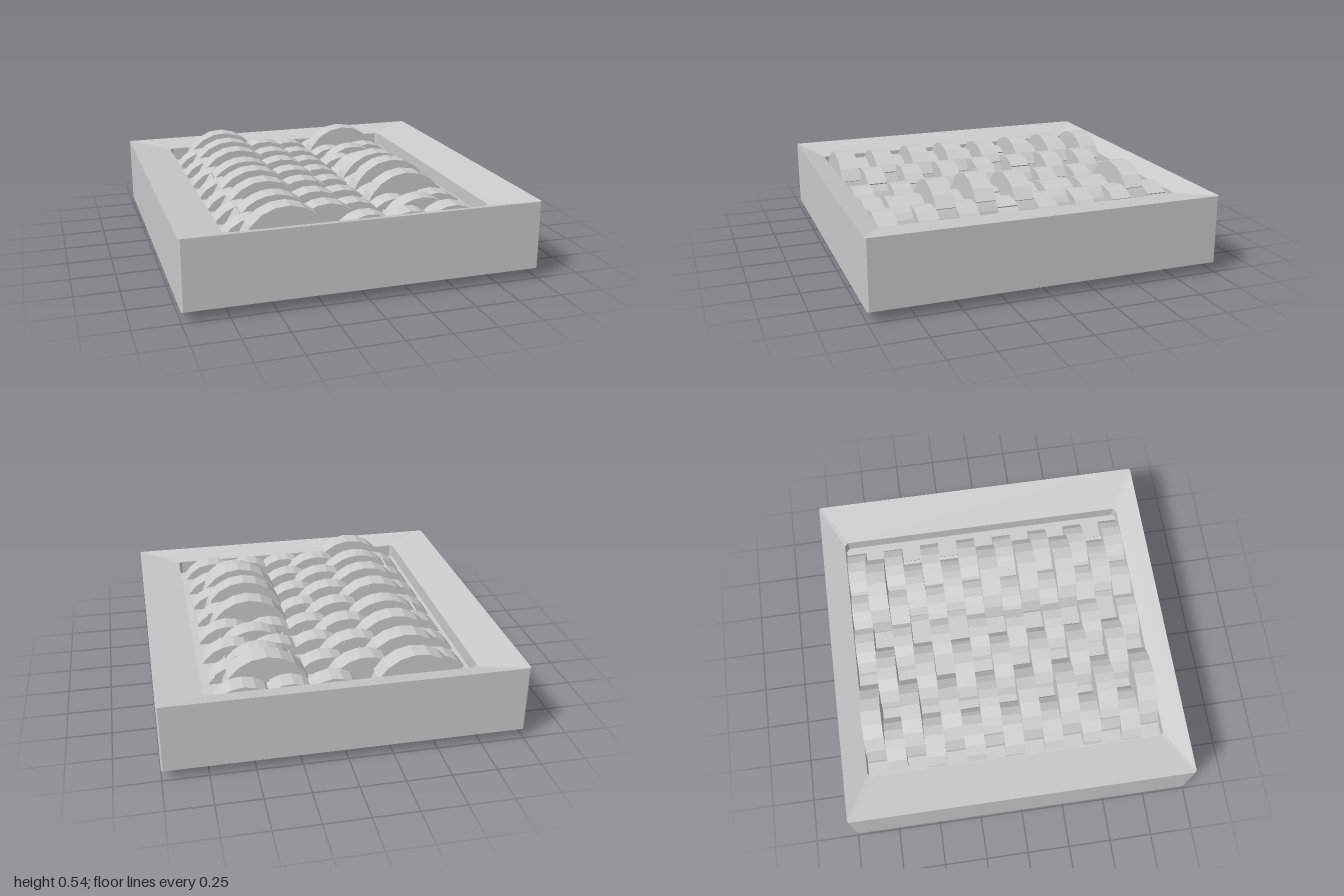
import * as THREE from 'three';

const mat = new THREE.MeshStandardMaterial({ color: 0xcccccc, flatShading: true, side: THREE.DoubleSide });

// Rectangular outline with clipped corners, as eight points at height y
function outline(hx, hz, clip, y) {
  const pts = [];
  for (const [sx, sz, flip] of [[1, 1, 0], [1, -1, 1], [-1, -1, 0], [-1, 1, 1]]) {
    const a = [sx * (hx - clip), y, sz * hz];
    const b = [sx * hx, y, sz * (hz - clip)];
    pts.push(...(flip ? [b, a] : [a, b]));
  }
  return pts;
}

// Skin stretched over a series of outlines
function loft(loops) {
  const pos = [], idx = [], n = loops[0].length;
  loops.forEach(l => l.forEach(p => pos.push(...p)));
  for (let k = 0; k < loops.length - 1; k++) {
    for (let i = 0; i < n; i++) {
      const a = k * n + i, b = k * n + (i + 1) % n;
      idx.push(a, b, b + n, a, b + n, a + n);
    }
  }
  const g = new THREE.BufferGeometry();
  g.setAttribute('position', new THREE.Float32BufferAttribute(pos, 3));
  g.setIndex(idx);
  const flat = g.toNonIndexed();
  flat.computeVertexNormals();
  return flat;
}

// Wheel with a rim stepped into three sectors of slightly different radius
function steppedWheel(r, depth, turn) {
  const shape = new THREE.Shape();
  const sectors = [[0, 1], [0.42, 0.92], [0.72, 0.96]];
  const steps = 8;
  sectors.forEach(([start, scale], s) => {
    const end = s < 2 ? sectors[s + 1][0] : 1;
    for (let i = 0; i <= steps; i++) {
      const a = turn + 2 * Math.PI * (start + (end - start) * i / steps);
      const x = Math.cos(a) * r * scale, y = Math.sin(a) * r * scale;
      if (s === 0 && i === 0) shape.moveTo(x, y);
      else shape.lineTo(x, y);
    }
  });
  shape.closePath();
  const g = new THREE.ExtrudeGeometry(shape, { depth, bevelEnabled: false });
  g.translate(0, 0, -depth / 2);
  return g;
}

export function createModel() {
  const model = new THREE.Group();

  // Tray: underside, outer walls, inward sloping rim, shallow recess and floor
  const tray = new THREE.Mesh(loft([
    outline(0, 0, 0, 0.06),
    outline(1, 1, 0.01, 0.06),
    outline(1, 1, 0.01, 0.45),
    outline(0.75, 0.865, 0.02, 0.41),
    outline(0.75, 0.865, 0.02, 0.33),
    outline(0, 0, 0, 0.33),
  ]), mat);
  tray.name = 'tray';
  model.add(tray);

  // Rows of wheels, staggered from one row to the next
  const rows = 15, pitch = 1.72 / rows;
  const lowRows = [1, 9, 11], deepRows = [2, 8];
  for (let i = 0; i < rows; i++) {
    const row = new THREE.Group();
    row.name = 'wheelRow' + (i + 1);
    row.position.z = 0.86 - pitch * (i + 0.5);
    const wobble = 0.6 * Math.sin(i * 2.3);
    // Each wheel: x, y, radius, turn
    const wheels = i % 2 === 0
      ? [
        deepRows.includes(i) ? [-0.41, 0.26, 0.26, 2.44] : [-0.41, 0.27, 0.25, 0.5],
        [0.05, 0.235, 0.19, 0.4 + wobble],
        [0.29, 0.24, 0.18, 0.6 + wobble],
        [0.54, 0.23, 0.2, 0.5 + wobble],
      ]
      : [
        [-0.56, 0.24, 0.19, 0.5 + wobble],
        [-0.15, 0.25, 0.22, 0.4 + wobble],
        lowRows.includes(i) ? [0.4, 0.235, 0.235, -2] : [0.4, i === 5 ? 0.295 : 0.28, 0.25, 0.6],
      ];
    for (const [x, y, r, turn] of wheels) {
      const wheel = new THREE.Mesh(steppedWheel(r, pitch, turn), mat);
      wheel.name = 'wheel';
      wheel.position.set(x, y, 0);
      row.add(wheel);
    }
    model.add(row);
  }
  return model;
}
